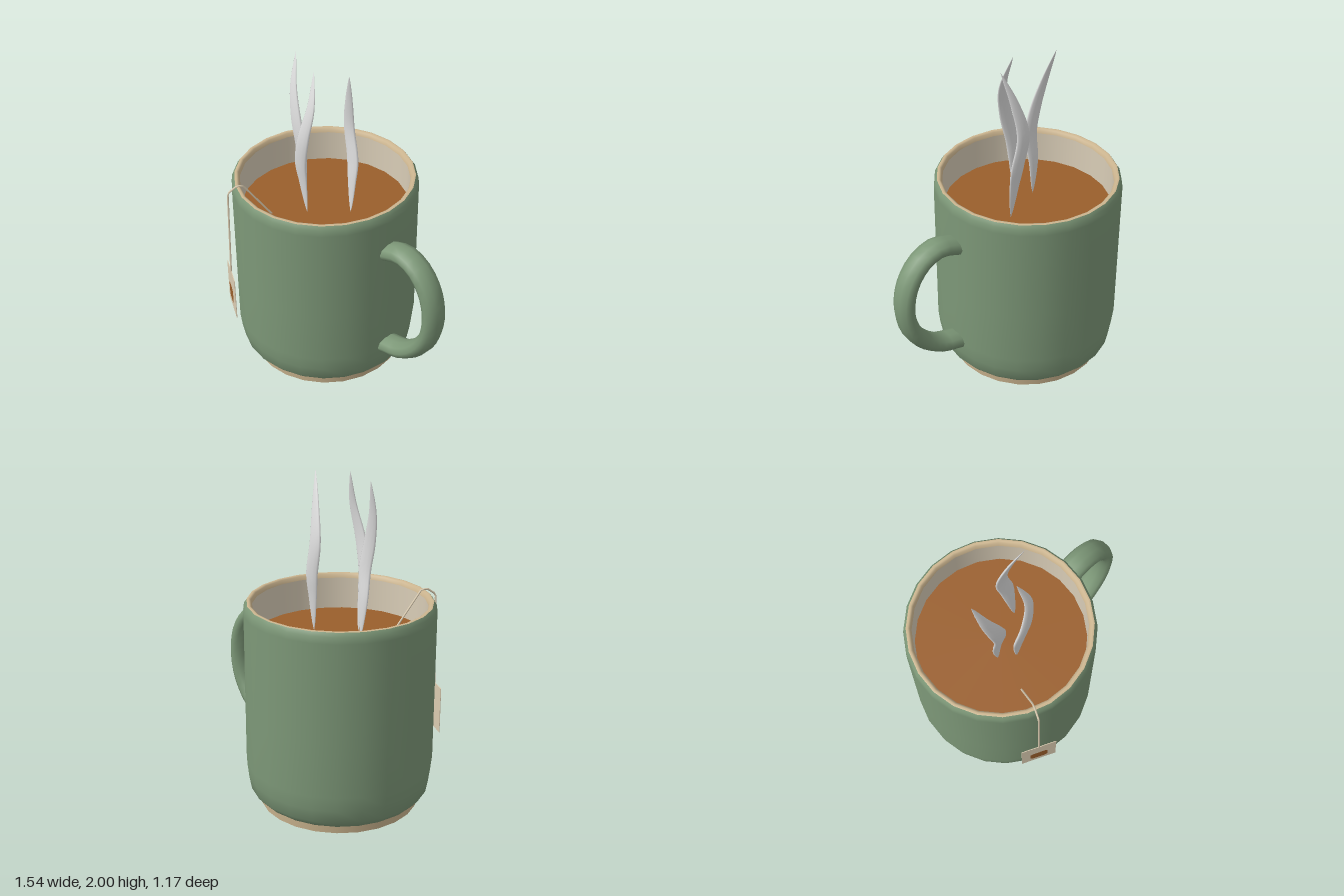
import * as THREE from 'three';

const mat = (name, color, side = THREE.FrontSide) => {
  const m = new THREE.MeshStandardMaterial({ color, side });
  m.name = name;
  return m;
};
const V = (x, y, z) => new THREE.Vector3(x, y, z);

// Flattened, tapering ribbon swept up a curve
function wispGeometry(points, rows = 24, sides = 10) {
  const curve = new THREE.CatmullRomCurve3(points.map((p) => V(...p)));
  const pos = [], index = [];
  for (let i = 0; i <= rows; i++) {
    const t = i / rows, c = curve.getPoint(t);
    const k = Math.pow(Math.max(Math.sin(Math.PI * Math.pow(t, 0.9)), 0), 0.8);
    for (let j = 0; j < sides; j++) {
      const a = (j / sides) * Math.PI * 2;
      pos.push(c.x + 0.05 * k * Math.cos(a), c.y, c.z - 0.014 * k * Math.sin(a));
    }
  }
  for (let i = 0; i < rows; i++) {
    for (let j = 0; j < sides; j++) {
      const a = i * sides + j, b = i * sides + ((j + 1) % sides);
      index.push(a, b, b + sides, a, b + sides, a + sides);
    }
  }
  const g = new THREE.BufferGeometry();
  g.setAttribute('position', new THREE.Float32BufferAttribute(pos, 3));
  g.setIndex(index);
  g.computeVertexNormals();
  return g;
}

export function createModel() {
  const model = new THREE.Group();
  model.name = 'mugOfTea';
  const green = mat('greenGlaze', 0x7d9878);
  const clay = mat('bareClay', 0xcdb690);
  const lining = mat('creamLining', 0xd8ccb6);
  const tea = mat('tea', 0x9a5f2c, THREE.DoubleSide);
  const paper = mat('paper', 0xdccdb2, THREE.DoubleSide);
  const steam = mat('steam', 0xdedede, THREE.DoubleSide);

  const add = (name, geometry, material, parent = model) => {
    const m = new THREE.Mesh(geometry, material);
    m.name = name;
    parent.add(m);
    return m;
  };

  // Mug, centred on its own axis
  const mug = new THREE.Group();
  mug.name = 'mug';
  mug.position.set(-0.21, 0, -0.02);
  model.add(mug);
  const lathe = (name, profile, material) =>
    add(name, new THREE.LatheGeometry(profile.map((p) => new THREE.Vector2(...p)), 24), material, mug);

  lathe('footUnderside', [[0.44, 0], [0.48, 0]], clay);
  lathe('footRing', [[0.48, 0], [0.485, 0.045]], clay);
  lathe('body', [[0.485, 0.045], [0.505, 0.06], [0.54, 0.1], [0.555, 0.18], [0.565, 0.27],
    [0.565, 0.6], [0.565, 1.2], [0.56, 1.24], [0.545, 1.262]], green);
  lathe('rim', [[0.545, 1.262], [0.532, 1.265], [0.52, 1.258], [0.513, 1.235]], clay);
  lathe('innerWall', [[0.513, 1.235], [0.512, 1.02]], lining);
  const base = add('base', new THREE.CircleGeometry(0.445, 24), green, mug);
  base.rotation.x = Math.PI / 2;
  base.position.y = 0.004;
  const surface = add('teaSurface', new THREE.CircleGeometry(0.513, 24), tea, mug);
  surface.rotation.set(-Math.PI / 2, 0, Math.PI / 2);
  surface.position.y = 1.04;

  // Handle: round tube widened sideways
  const handlePath = new THREE.CatmullRomCurve3([
    [0.32, 0.975], [0.37, 0.995], [0.47, 1.02], [0.59, 0.975], [0.68, 0.86], [0.715, 0.7],
    [0.685, 0.53], [0.6, 0.4], [0.48, 0.31], [0.37, 0.28], [0.32, 0.265],
  ].map(([x, y]) => V(x, y, 0)));
  const handle = add('handle', new THREE.TubeGeometry(handlePath, 22, 0.055, 10), green);
  handle.scale.z = 1.45;
  handle.position.z = -0.02;

  // String over the rim, made of straight runs
  const stringPath = new THREE.CurvePath();
  const knots = [V(-0.355, 1.03, 0.28), V(-0.425, 1.272, 0.435), V(-0.44, 1.282, 0.468),
    V(-0.465, 1.24, 0.522), V(-0.47, 0.66, 0.535)];
  for (let i = 1; i < knots.length; i++) stringPath.add(new THREE.LineCurve3(knots[i - 1], knots[i]));
  add('string', new THREE.TubeGeometry(stringPath, 40, 0.006, 6), paper);

  // Paper tag, turned to lie along the side of the mug
  const tag = new THREE.Group();
  tag.name = 'tag';
  tag.position.set(-0.47, 0.525, 0.535);
  tag.rotation.y = -0.48;
  model.add(tag);
  add('tagPaper', new THREE.BoxGeometry(0.222, 0.29, 0.004), paper, tag);
  const s = 0.055, c = 0.04;
  const patch = new THREE.Shape([[s, c], [c, s], [-c, s], [-s, c], [-s, -c], [-c, -s], [c, -s], [s, -c]]
    .map((p) => new THREE.Vector2(...p)));
  add('tagPatch', new THREE.ShapeGeometry(patch), tea, tag).position.set(0, -0.027, 0.006);

  // Steam
  [
    [[-0.31, 1.04, 0.05], [-0.32, 1.265, 0.06], [-0.31, 1.45, 0.08], [-0.345, 1.62, 0.08], [-0.39, 1.8, 0.055], [-0.425, 2, 0]],
    [[-0.22, 1.04, 0.12], [-0.23, 1.265, 0.14], [-0.23, 1.4, 0.155], [-0.185, 1.6, 0.165], [-0.145, 1.8, 0.14], [-0.175, 2, 0.085]],
    [[-0.04, 1.04, -0.07], [-0.05, 1.265, -0.09], [-0.06, 1.4, -0.105], [-0.095, 1.6, -0.11], [-0.06, 1.8, -0.075], [0, 2, -0.02]],
  ].forEach((points, i) => add(`steamWisp${i + 1}`, wispGeometry(points), steam));

  return model;
}
